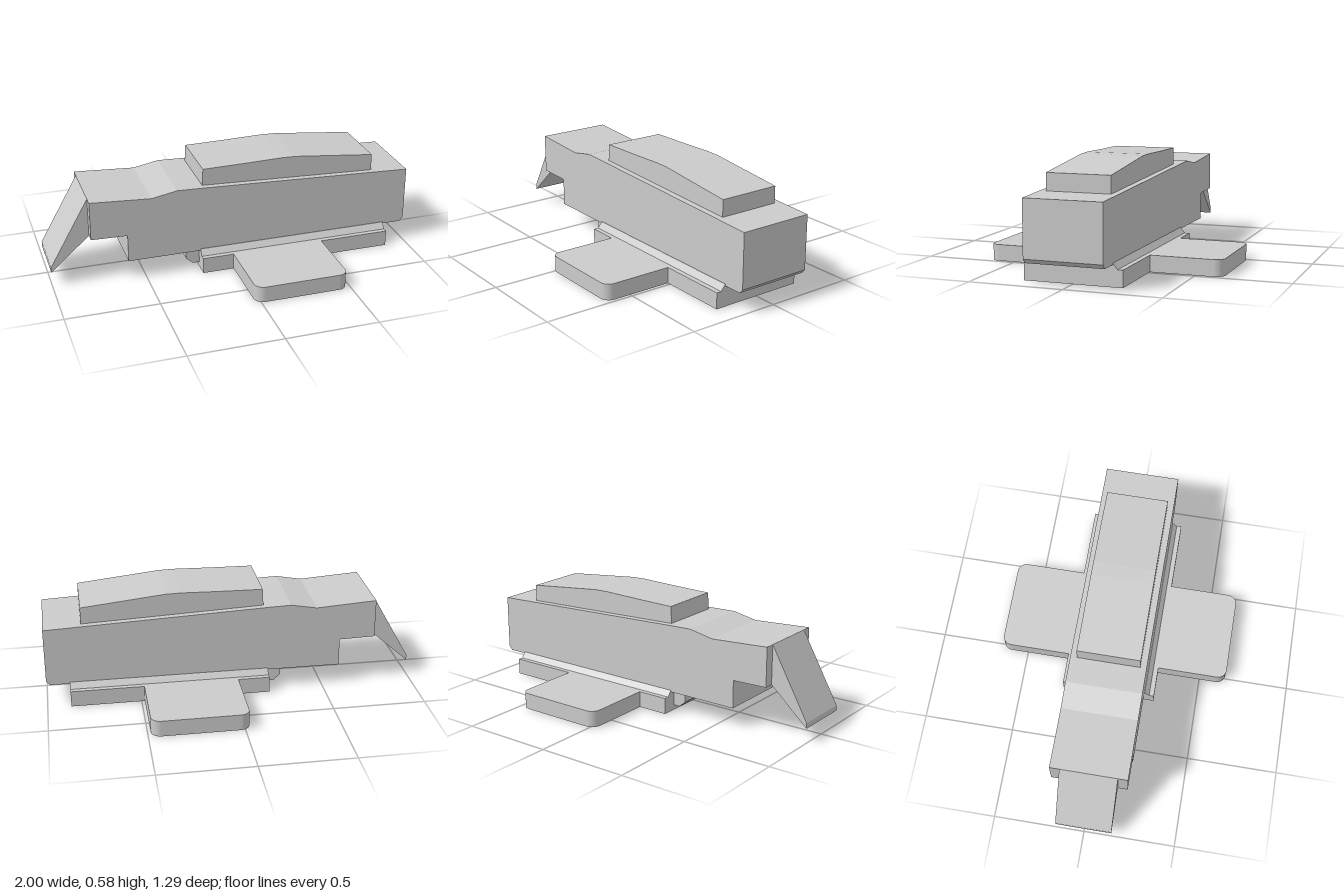
import * as THREE from 'three';

export function createModel() {
  const model = new THREE.Group();
  const material = new THREE.MeshStandardMaterial({ color: 0xcccccc });

  const add = (name, geometry) => {
    const mesh = new THREE.Mesh(geometry, material);
    mesh.name = name;
    model.add(mesh);
    return mesh;
  };
  const outline = (points) => new THREE.Shape(points.map(([x, y]) => new THREE.Vector2(x, y)));
  const extrude = (shape, depth) =>
    new THREE.ExtrudeGeometry(shape, { depth, bevelEnabled: false, curveSegments: 6 });

  // Side profile in x, y, extruded across the width from z0 to z1
  const addProfile = (name, points, z0, z1) =>
    add(name, extrude(outline(points), z1 - z0).translate(0, 0, z0));

  // Long main body with a stepped underside and chamfered tail
  addProfile('body', [
    [-0.595, 0.11], [0.98, 0.11], [1, 0.133], [1, 0.43], [-0.18, 0.48], [-0.32, 0.485],
    [-0.46, 0.459], [-0.79, 0.48], [-0.79, 0.267], [-0.595, 0.262],
  ], -0.208, 0.205);

  // Raised, gently arched top cover
  addProfile('topCover', [
    [-0.175, 0.45], [0.8, 0.42], [0.8, 0.53], [0.35, 0.578], [0.27, 0.58],
    [0.05, 0.575], [-0.17, 0.572], [-0.175, 0.48],
  ], -0.172, 0.17);

  // Sloping, tapered nose
  addProfile('nose', [[-1, 0.08], [-0.79, 0.267], [-0.79, 0.48], [-1, 0.11]], -0.155, 0.152);

  // Small chamfered lug ahead of the base
  addProfile('lug', [
    [-0.235, 0.027], [-0.19, 0.027], [-0.19, 0.115], [-0.272, 0.115], [-0.272, 0.06],
  ], -0.18, 0.18);

  // Base rail: a stepped cross-section swept along x
  const rail = [
    [-0.26, 0], [0.26, 0], [0.26, 0.088], [0.233, 0.088], [0.207, 0.12],
    [-0.207, 0.12], [-0.233, 0.088], [-0.26, 0.088],
  ];
  add('baseRail', extrude(outline(rail), 1.073).rotateY(Math.PI / 2).translate(-0.198, 0, 0));

  // Cross plate with rounded outer corners
  const x0 = -0.027, x1 = 0.483, z = 0.645, r = 0.05;
  const plate = new THREE.Shape();
  plate.moveTo(x0 + r, -z);
  plate.lineTo(x1 - r, -z);
  plate.absarc(x1 - r, -z + r, r, -Math.PI / 2, 0);
  plate.lineTo(x1, z - r);
  plate.absarc(x1 - r, z - r, r, 0, Math.PI / 2);
  plate.lineTo(x0 + r, z);
  plate.absarc(x0 + r, z - r, r, Math.PI / 2, Math.PI);
  plate.lineTo(x0, -z + r);
  plate.absarc(x0 + r, -z + r, r, Math.PI, Math.PI * 1.5);
  add('crossPlate', extrude(plate, 0.088).rotateX(-Math.PI / 2));

  return model;
}
